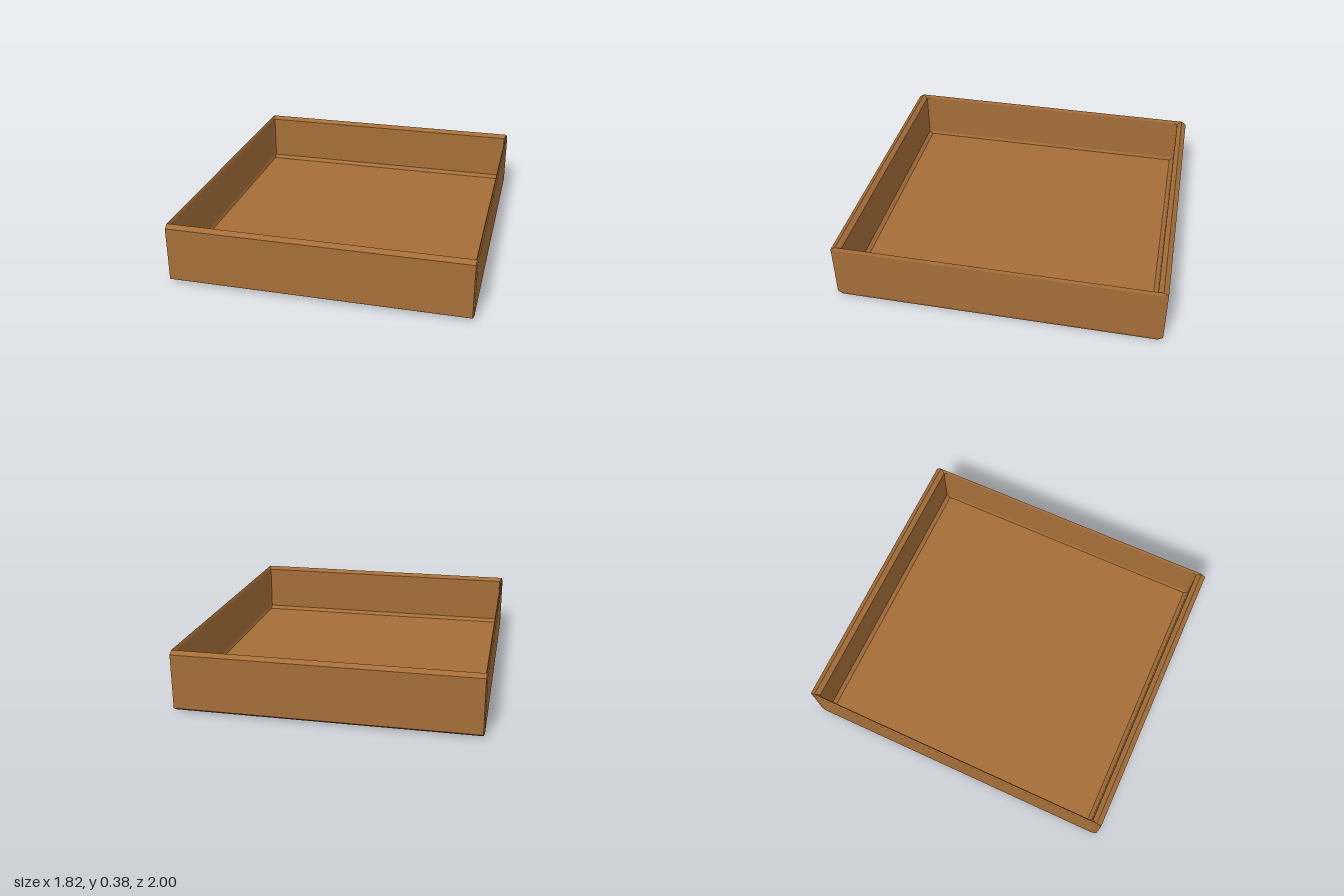
import * as THREE from 'three';

// Rectangular ring with cut corners, counter-clockwise seen from above.
// x, z: half sizes; cx, cz: corner cut along each axis.
function ring(y, x, z, cx = 0, cz = 0) {
  return [
    [x, -z + cz], [x - cx, -z], [-x + cx, -z], [-x, -z + cz],
    [-x, z - cz], [-x + cx, z], [x - cx, z], [x, z - cz],
  ].map(([px, pz]) => new THREE.Vector3(px, y, pz));
}

// Flat-faced skin through successive rings, dropping collapsed triangles.
function loft(name, rings, material) {
  const points = [];
  const addTriangle = (a, b, c) => {
    if (new THREE.Triangle(a, b, c).getArea() > 1e-7) points.push(a, b, c);
  };
  for (let r = 0; r < rings.length - 1; r++) {
    const low = rings[r], high = rings[r + 1];
    for (let i = 0; i < 8; i++) {
      const j = (i + 1) % 8;
      addTriangle(low[i], low[j], high[j]);
      addTriangle(low[i], high[j], high[i]);
    }
  }
  const geometry = new THREE.BufferGeometry().setFromPoints(points);
  geometry.computeVertexNormals();
  const mesh = new THREE.Mesh(geometry, material);
  mesh.name = name;
  return mesh;
}

export function createModel() {
  const wood = new THREE.MeshStandardMaterial({ color: 0xa56e38 });
  wood.name = 'warm brown wood';

  const H = 0.375, X = 0.911, Z = 1;      // outer size
  const bx = 0.007, by = 0.02, bz = 0.03; // bevel along each axis
  const ix = X - 2 * bx, iz = Z - 2 * bz; // inner wall faces

  const underside = ring(0, X - bx, Z - bz);
  const ridge = ring(H, X - bx, Z - bz);
  const innerRim = ring(H - by, ix, iz, bx, bz * 0.8);
  const floorEdge = ring(0.04, ix - bx, iz - bz * 0.8);

  const tray = new THREE.Group();
  tray.name = 'tray';
  tray.add(
    loft('underside', [ring(0, 0, 0), underside], wood),
    // outer walls with bevelled edges
    loft('outerWalls', [
      underside, ring(by, X, Z, bx, bz), ring(H - by, X, Z, bx, bz), ridge,
    ], wood),
    // ridge slopes inward, walls drop to a bevel around the floor
    loft('innerWalls', [
      ridge, innerRim, ring(0.06, ix, iz, bx, bz * 0.8), floorEdge,
    ], wood),
    loft('floor', [floorEdge, ring(0.04, 0, 0)], wood),
  );
  return tray;
}
